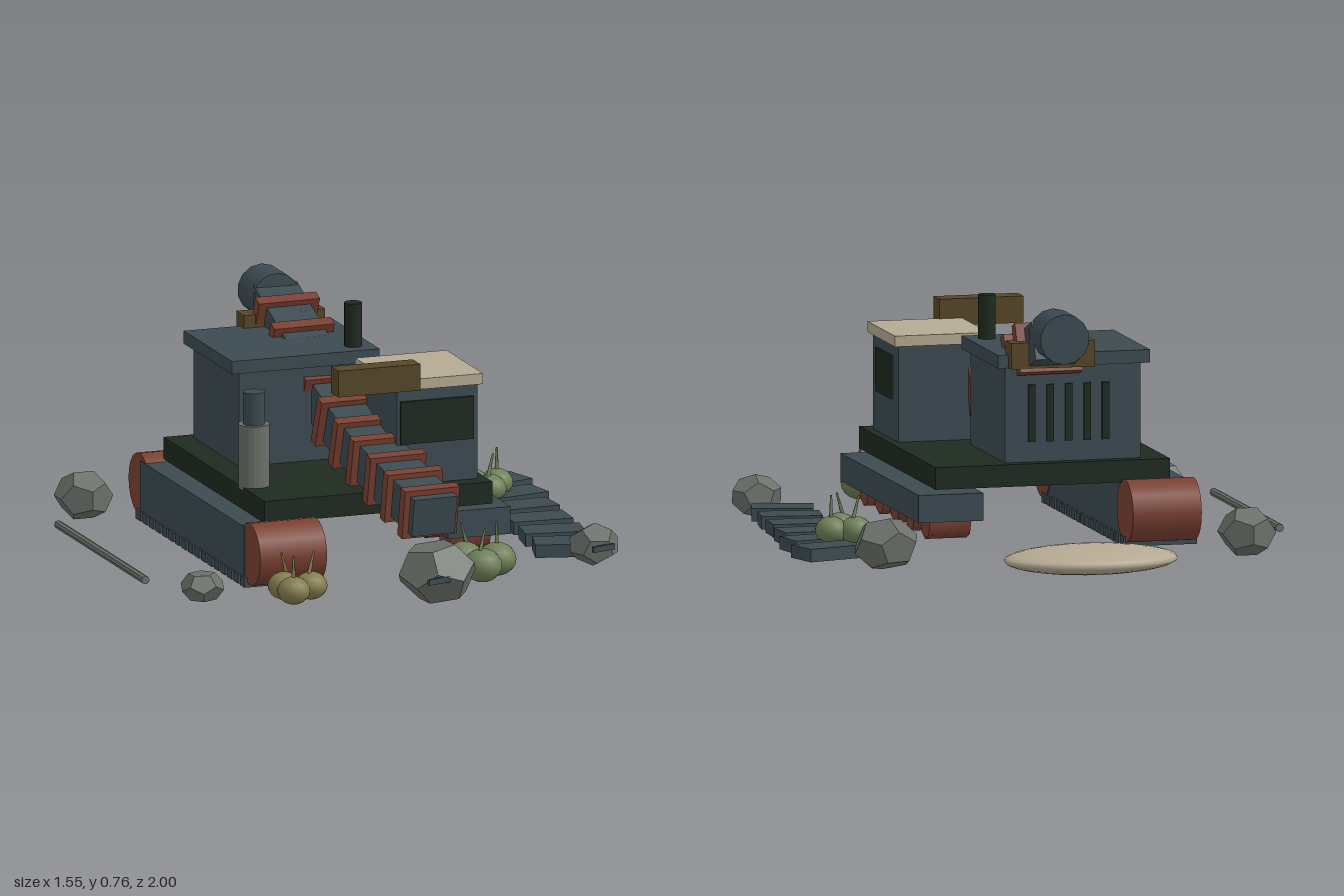
import * as THREE from 'three';

const mat = (name, color) => {
  const m = new THREE.MeshStandardMaterial({ color });
  m.name = name;
  return m;
};

export function createModel() {
  const root = new THREE.Group();
  root.name = 'trackedMachine';
  const steel = mat('blueSteel', 0x3c4b51);
  const dark = mat('darkGreen', 0x1e2a20);
  const rust = mat('rust', 0x7a4031);
  const wood = mat('oliveBrown', 0x574628);
  const sand = mat('sand', 0xb5a992);
  const stone = mat('stone', 0x6b706a);
  const leaf = mat('gourdGreen', 0x6e8058);
  const straw = mat('gourdYellow', 0x857d50);
  stone.flatShading = true;

  const add = (name, geo, material, x, y, z, parent = root) => {
    const m = new THREE.Mesh(geo, material);
    m.name = name;
    m.position.set(x, y, z);
    parent.add(m);
    return m;
  };
  // Box given by its minimum and maximum on each axis
  const box = (name, material, x0, x1, y0, y1, z0, z1, parent) =>
    add(name, new THREE.BoxGeometry(x1 - x0, y1 - y0, z1 - z0), material,
      (x0 + x1) / 2, (y0 + y1) / 2, (z0 + z1) / 2, parent);
  const cyl = (name, material, r, h, x, y, z, sides = 16, r2 = r) =>
    add(name, new THREE.CylinderGeometry(r2, r, h, sides), material, x, y, z);

  // Deck
  box('deck', dark, -0.408, 0.328, 0.22, 0.288, -0.375, 0.51);

  // Complete track with end drums and shoes
  box('trackHousing', steel, -0.475, -0.26, 0.055, 0.215, -0.4, 0.51);
  for (const z of [-0.413, 0.55]) {
    cyl('trackDrum', rust, 0.096, 0.215, -0.364, 0.138, z, 20).rotation.z = Math.PI / 2;
  }
  for (let i = 0; i < 17; i++) {
    const z = -0.4 + i * 0.057;
    box('trackShoe', steel, -0.481, -0.25, 0.03, 0.06, z - 0.02, z + 0.02);
  }

  // Bare track: housing and exposed road wheels
  box('bareTrackHousing', steel, 0.182, 0.385, 0.122, 0.207, -0.39, 0.515);
  for (let i = 0; i < 5; i++) {
    cyl('roadWheel', rust, 0.056, 0.13, 0.275, 0.115, 0.41 - i * 0.177, 8).rotation.z = Math.PI / 2;
  }

  // Thrown track plates: x, z, turn
  [[0.668, -0.378, 0.29], [0.66, -0.212, 0.18], [0.637, -0.052, 0.05],
    [0.622, 0.112, -0.05], [0.608, 0.275, -0.16], [0.59, 0.43, -0.26]].forEach(([x, z, turn]) => {
    add('loosePlate', new THREE.BoxGeometry(0.188, 0.04, 0.115), steel, x, 0.046, z).rotation.y = turn;
  });

  // Engine house
  box('engineHouse', steel, -0.325, 0.1, 0.28, 0.585, -0.337, 0.063);
  box('engineRoof', steel, -0.352, 0.125, 0.58, 0.62, -0.35, 0.073);
  for (let i = 0; i < 5; i++) {
    const x = -0.215 + i * 0.058;
    box('louvre', dark, x - 0.011, x + 0.011, 0.35, 0.525, -0.346, -0.337);
  }
  cyl('roofPipe', dark, 0.027, 0.14, 0.064, 0.685, 0.005);

  // Operator cab
  box('cab', steel, 0.04, 0.3, 0.28, 0.585, 0.16, 0.455);
  box('cabRoof', sand, 0.02, 0.315, 0.583, 0.616, 0.143, 0.463);
  box('frontWindow', dark, 0.05, 0.285, 0.415, 0.548, 0.455, 0.464);
  box('sideWindow', dark, 0.3, 0.308, 0.412, 0.545, 0.22, 0.4);

  // Exhaust stack
  cyl('stackSleeve', stone, 0.048, 0.2, -0.365, 0.38, 0.3, 18);
  cyl('stackPipe', steel, 0.034, 0.29, -0.365, 0.435, 0.3, 18);

  // Boom: boxes along a curve with a collar on each
  const boom = new THREE.Group();
  boom.name = 'boom';
  root.add(boom);
  const path = new THREE.CatmullRomCurve3([
    [0.018, 0.282, 0.835], [0.002, 0.335, 0.54], [-0.01, 0.39, 0.28],
    [-0.02, 0.465, 0.06], [-0.03, 0.578, -0.2], [-0.036, 0.67, -0.42],
  ].map((p) => new THREE.Vector3(...p)));
  const count = 10;
  for (let i = 0; i < count; i++) {
    const a = path.getPointAt(i / count);
    const b = path.getPointAt((i + 1) / count);
    const mid = a.clone().lerp(b, 0.5);
    const seg = add('boomSection', new THREE.BoxGeometry(0.142, 0.12, a.distanceTo(b) + 0.015), steel,
      mid.x, mid.y, mid.z, boom);
    seg.lookAt(b);
    const c = a.clone().lerp(b, 0.3);
    const collar = add('boomCollar', new THREE.BoxGeometry(0.18 + i * 0.002, 0.155, 0.036), rust, c.x, c.y, c.z, boom);
    collar.lookAt(b);
  }
  cyl('boomEndDrum', steel, 0.077, 0.135, -0.037, 0.687, -0.458, 14).rotation.x = Math.PI / 2;
  box('rearBeam', wood, -0.17, 0.092, 0.58, 0.66, -0.382, -0.315);
  box('frontBeam', wood, -0.172, 0.092, 0.594, 0.676, 0.452, 0.518);

  // Rocks: x, y, z, radii
  [[-0.6, 0.082, -0.555, 0.09, 0.078], [0.535, 0.09, -0.565, 0.103, 0.084],
    [-0.657, 0.074, 0.64, 0.068, 0.05], [0.635, 0.08, 0.565, 0.08, 0.066],
    [0.02, 0.113, 0.86, 0.125, 0.1]].forEach(([x, y, z, r, h], i) => {
    const g = new THREE.DodecahedronGeometry(1, 0);
    g.rotateY(i * 0.8);
    g.rotateZ(0.3 * i);
    g.scale(r, h, r);
    add('rock', g, stone, x, y, z);
  });
  for (const [x, y, z] of [[0.637, 0.086, 0.645], [-0.018, 0.115, 0.98]]) {
    add('rockBar', new THREE.BoxGeometry(0.08, 0.018, 0.009), steel, x, y, z).rotation.y = 0.3;
  }

  // Gourd clusters: material, radius, height, then centres
  const clusters = [
    [straw, 0.05, 0.08, [[-0.43, 0.74], [-0.425, 0.81], [-0.352, 0.765]]],
    [leaf, 0.06, 0.09, [[0.19, 0.635], [0.28, 0.677], [0.21, 0.742]]],
    [leaf, 0.05, 0.09, [[0.55, -0.27], [0.622, -0.25], [0.576, -0.182]]],
  ];
  for (const [m, r, y, spots] of clusters) {
    spots.forEach(([x, z], i) => {
      add('gourd', new THREE.SphereGeometry(r, 14, 10), m, x, y, z).scale.y = 0.85;
      const stem = cyl('gourdStem', m, 0.007, 0.08, x, y + r * 0.85 + 0.025, z, 6, 0.003);
      stem.rotation.set(0.2 - i * 0.2, 0, 0.3 - i * 0.3);
    });
  }

  // Loose rod and sand mound
  cyl('looseRod', stone, 0.013, 0.765, -0.764, 0.055, 0.05, 8).rotation.x = Math.PI / 2;
  const mound = add('sandMound', new THREE.SphereGeometry(1, 24, 14), sand, -0.04, 0.058, -0.818);
  mound.scale.set(0.27, 0.042, 0.183);
  return root;
}
